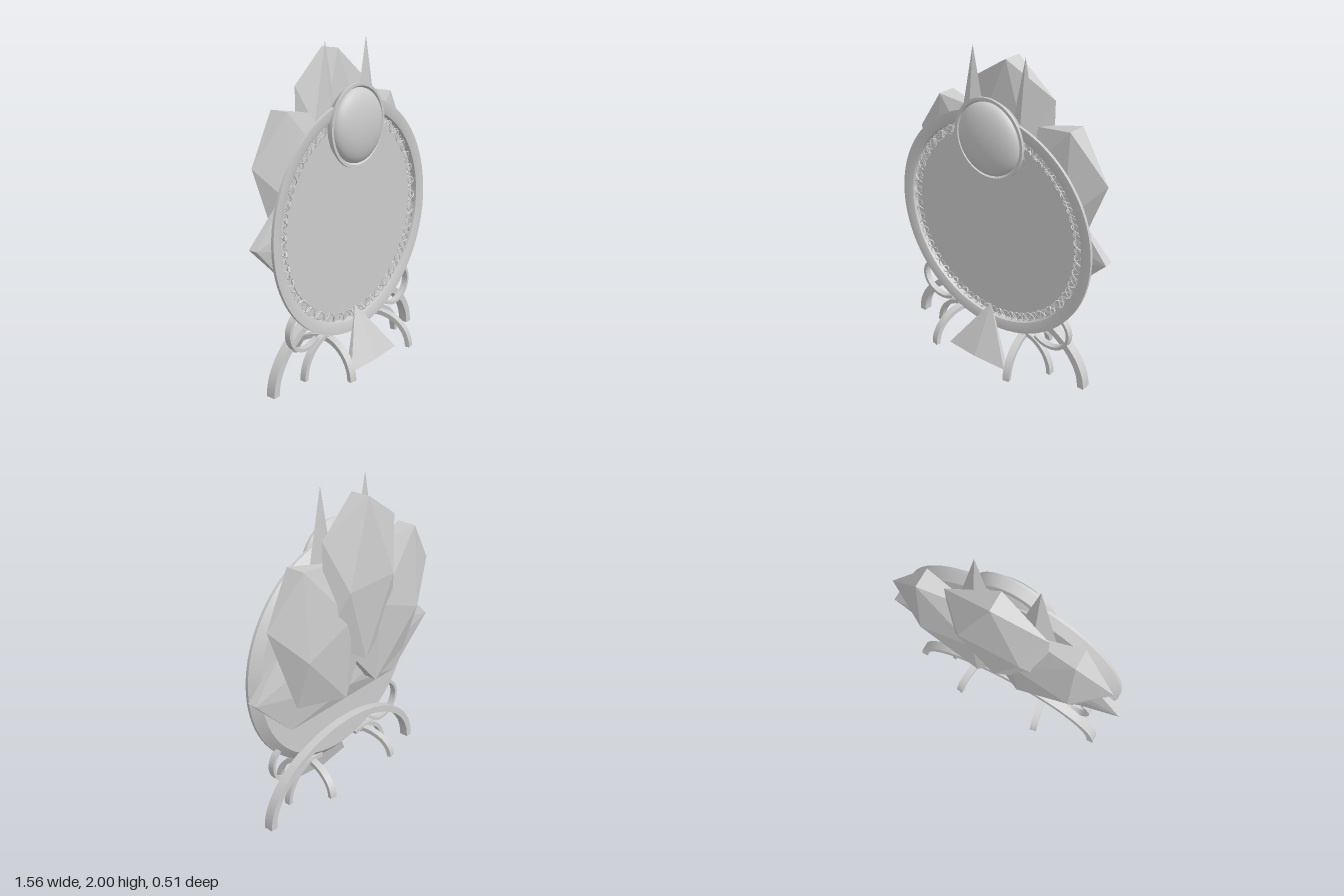
import * as THREE from 'three';
import { toCreasedNormals } from 'three/addons/utils/BufferGeometryUtils.js';

const smooth = new THREE.MeshStandardMaterial({ color: 0xcccccc });
const flat = new THREE.MeshStandardMaterial({ color: 0xcccccc, flatShading: true });

export function createModel() {
  const model = new THREE.Group();

  const add = (name, geometry, material, x = 0, y = 0, z = 0) => {
    const mesh = new THREE.Mesh(geometry, material);
    mesh.name = name;
    mesh.position.set(x, y, z);
    model.add(mesh);
    return mesh;
  };

  // Round part turned around the z axis, profile given as [radius, z] from back to front
  const turned = (profile, segments) => {
    const points = profile.map(([r, z]) => new THREE.Vector2(r, z));
    const geometry = new THREE.LatheGeometry(points, segments).rotateX(Math.PI / 2);
    return toCreasedNormals(geometry, 0.5);
  };

  // Faceted crystal with its long point up
  const crystal = (rx, ry, rz) =>
    new THREE.IcosahedronGeometry(1, 0).rotateZ(Math.PI / 2).scale(rx, ry, rz);

  // Flat curved bar following part of an ellipse
  const arch = (rx, ry, width, depth, from, to) => {
    const shape = new THREE.Shape();
    shape.absellipse(0, 0, rx, ry, from, to, false);
    shape.absellipse(0, 0, rx - width, ry - width, to, from, true);
    shape.closePath();
    const geometry = new THREE.ExtrudeGeometry(shape, { depth, bevelEnabled: false, curveSegments: 24 });
    return toCreasedNormals(geometry.translate(0, 0, -depth / 2), 0.5);
  };

  // Large dish body with raised rim
  const bodyY = 0.935;
  add('bodyDish', turned([
    [0, -0.025], [0.672, -0.025], [0.725, 0.022], [0.725, 0.04], [0.685, 0.04],
    [0.655, 0.03], [0.65, -0.005], [0.6, -0.005], [0.6, 0.003], [0, 0.003],
  ], 96), smooth, 0, bodyY, 0);

  // Wire lattice wound around the recess of the rim
  class Coil extends THREE.Curve {
    constructor(direction, phase) {
      super();
      this.direction = direction;
      this.phase = phase;
    }
    getPoint(t, target = new THREE.Vector3()) {
      const a = t * Math.PI * 2;
      const w = this.direction * 40 * a + this.phase;
      const r = 0.623 + 0.026 * Math.cos(w);
      return target.set(r * Math.cos(a), r * Math.sin(a), 0.012 + 0.012 * Math.sin(w));
    }
  }
  for (const [direction, phase] of [[1, 0], [1, Math.PI], [-1, 0.8]]) {
    add('rimLattice', new THREE.TubeGeometry(new Coil(direction, phase), 480, 0.003, 3, true), flat, 0, bodyY, 0);
  }

  // Head dome in a tapered collar
  const headY = 1.5;
  add('headCollar', turned([
    [0, -0.005], [0.215, -0.005], [0.25, 0.045], [0.25, 0.06], [0.232, 0.06], [0.22, 0.04], [0, 0.04],
  ], 64), smooth, 0, headY, 0);
  add('headDome', new THREE.SphereGeometry(1, 48, 32).scale(0.222, 0.222, 0.08), smooth, 0, headY, 0.045);

  // Back crystals and the wide flat crystal behind the body
  add('centreCrystal', crystal(0.364, 0.585, 0.116), flat, 0, 1.44, -0.16);
  add('wideCrystal', new THREE.IcosahedronGeometry(1, 0).scale(0.917, 0.365, 0.055), flat, 0, 0.92, -0.063);

  // Big arch that carries the body
  add('mainArch', arch(0.69, 0.455, 0.045, 0.06, 0, Math.PI), smooth, 0, 0, -0.05);

  for (const side of [1, -1]) {
    const facing = side > 0 ? 0 : Math.PI;

    const sideCrystal = add('sideCrystal', crystal(0.364, 0.571, 0.116), flat, side * 0.31, 1.18, -0.125);
    sideCrystal.rotation.z = -side * 0.36;

    add('horn', new THREE.ConeGeometry(1, 0.58, 4).scale(0.12, 1, 0.06), flat, side * 0.188, 1.71, -0.038);

    // Side loop beside the rim
    const loop = add('sideLoop', arch(0.155, 0.14, 0.02, 0.04, -2.3, 0.9), smooth, side * 0.44, 0.365, 0.005);
    loop.rotation.y = facing;

    // Curved legs: sideways, forward and backward
    const midLeg = add('sideLeg', arch(0.235, 0.24, 0.028, 0.04, 0, 1.9), smooth, side * 0.235, 0.03, 0.005);
    midLeg.rotation.y = facing;

    const frontLeg = add('frontLeg', arch(0.23, 0.215, 0.03, 0.045, 0, 1.75), smooth, side * 0.255, 0.035, 0.025);
    frontLeg.rotation.y = -Math.PI / 2 + side * 0.19;

    const backLeg = add('backLeg', arch(0.22, 0.165, 0.028, 0.045, 0, 1.75), smooth, side * 0.25, 0.09, -0.005);
    backLeg.rotation.y = Math.PI / 2 - side * 0.19;
  }

  // Flattened pyramid leaning against the front of the body
  const pyramid = add('frontPyramid', new THREE.ConeGeometry(1, 0.36, 6).scale(0.263, 1, 0.042), flat, 0, 0.203, 0.095);
  pyramid.rotation.x = -0.37;

  return model;
}
